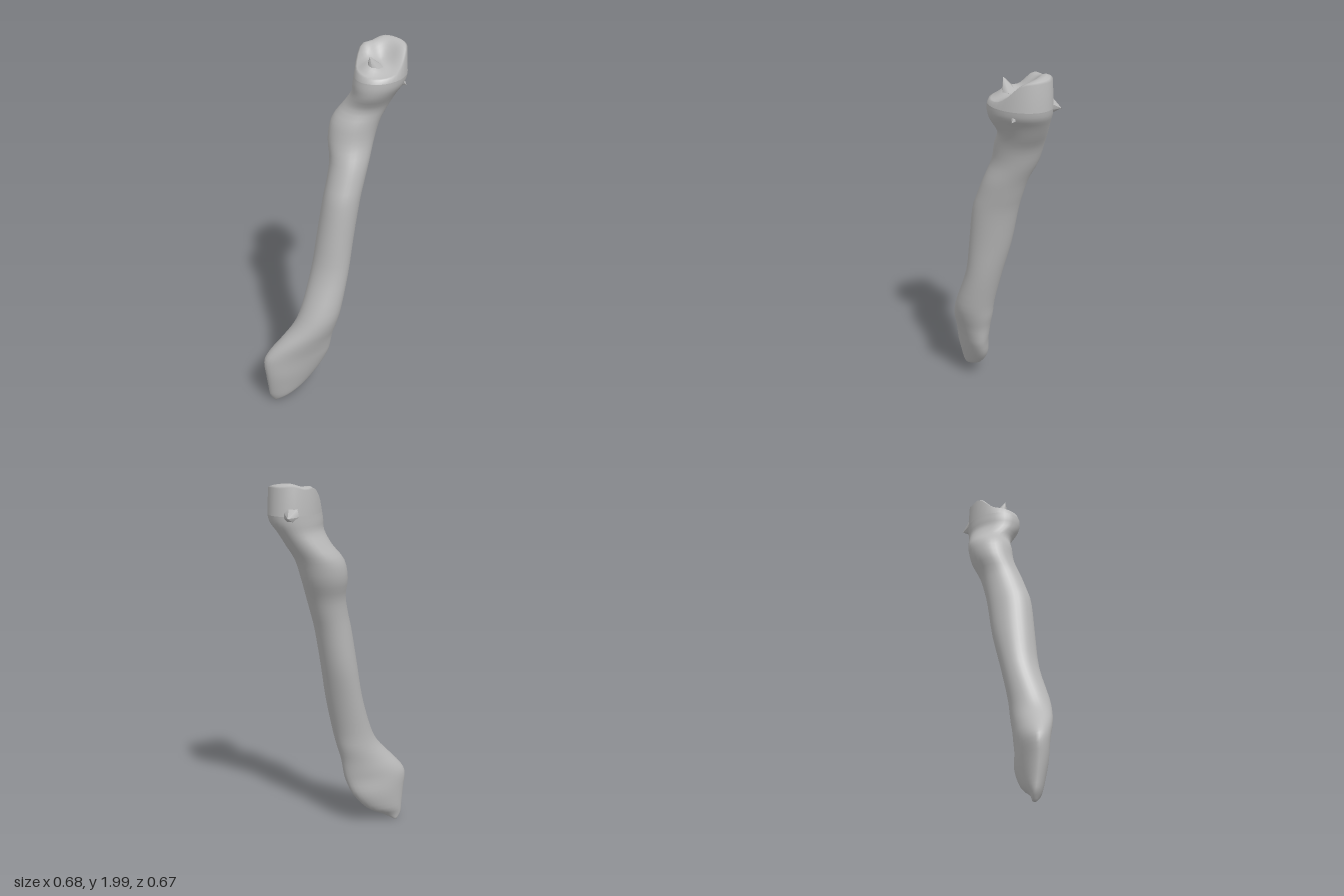
import * as THREE from 'three';
import { mergeVertices } from 'three/addons/utils/BufferGeometryUtils.js';

const SIDES = 32;

// Cross-sections, bottom to top: y, xMin, xMax, zMin, zMax, skew (ellipse tilt in plan)
const SECTIONS = [
  [0.00, -0.30, -0.28, 0.255, 0.275, 0],
  [0.04, -0.32, -0.21, 0.23, 0.295, -0.4],
  [0.10, -0.325, -0.13, 0.16, 0.31, -0.6],
  [0.20, -0.333, -0.055, 0.108, 0.328, -0.65],
  [0.29, -0.34, -0.012, 0.10, 0.333, -0.65],
  [0.35, -0.31, 0.002, 0.092, 0.328, -0.58],
  [0.42, -0.25, 0.015, 0.082, 0.316, -0.43],
  [0.50, -0.188, 0.04, 0.065, 0.295, -0.22],
  [0.60, -0.15, 0.065, 0.05, 0.265, -0.04],
  [0.80, -0.11, 0.095, 0.0, 0.197, 0.08],
  [1.00, -0.085, 0.115, -0.055, 0.17, 0.1],
  [1.20, -0.058, 0.14, -0.095, 0.145, 0.08],
  [1.30, -0.042, 0.157, -0.122, 0.113, 0.06],
  [1.40, -0.034, 0.175, -0.155, 0.075, 0.05],
  [1.50, -0.05, 0.19, -0.205, 0.035, 0],
  [1.60, -0.035, 0.215, -0.235, 0.015, 0],
  [1.68, 0.025, 0.255, -0.26, -0.01, -0.05],
  [1.75, 0.068, 0.295, -0.28, 0.02, -0.12],
  [1.80, 0.073, 0.33, -0.295, 0.03, -0.15],
  [1.84, 0.078, 0.34, -0.30, 0.027, -0.15],
];

// Raised points of the cupped end: x, z, height, spread
const BUMPS = [
  [0.28, -0.24, 0.07, 0.055],
  [0.19, -0.26, 0.07, 0.05],
  [0.12, -0.18, 0.08, 0.045],
  [0.17, -0.07, 0.045, 0.04],
  [0.33, -0.16, 0.06, 0.05],
];

const cupHeight = (x, z) => BUMPS.reduce(
  (y, [bx, bz, h, w]) => y + h * Math.exp(-((x - bx) ** 2 + (z - bz) ** 2) / (2 * w * w)),
  1.88 - 0.15 * (z + 0.1375));

// Catmull-Rom blend of neighbouring sections
function sectionAt(i, t) {
  const at = (k) => SECTIONS[Math.min(Math.max(k, 0), SECTIONS.length - 1)];
  const [a, b, c, d] = [at(i - 1), at(i), at(i + 1), at(i + 2)];
  return b.map((p, k) => p + 0.5 * t * (c[k] - a[k]
    + t * (2 * a[k] - 5 * p + 4 * c[k] - d[k] + t * (3 * (p - c[k]) + d[k] - a[k]))));
}

function ring([y, x0, x1, z0, z1, skew]) {
  const points = [];
  for (let j = 0; j < SIDES; j++) {
    const t = (j / SIDES) * Math.PI * 2;
    const c = Math.cos(t), s = Math.sin(t);
    points.push(new THREE.Vector3(
      (x0 + x1) / 2 + (x1 - x0) / 2 * c, y,
      (z0 + z1) / 2 + (z1 - z0) / 2 * (skew * c + Math.sqrt(1 - skew * skew) * s)));
  }
  return points;
}

function loft(rings) {
  const positions = rings.flat().flatMap((p) => [p.x, p.y, p.z]);
  const index = [];
  for (let i = 0; i < rings.length - 1; i++) {
    for (let j = 0; j < SIDES; j++) {
      const a = i * SIDES + j, b = i * SIDES + (j + 1) % SIDES;
      index.push(a, a + SIDES, b, b, a + SIDES, b + SIDES);
    }
  }
  const g = new THREE.BufferGeometry();
  g.setAttribute('position', new THREE.Float32BufferAttribute(positions, 3));
  g.setIndex(index);
  const merged = mergeVertices(g, 1e-5);
  merged.computeVertexNormals();
  return merged;
}

export function createModel() {
  const model = new THREE.Group();
  const bone = new THREE.MeshStandardMaterial({ color: 0xb8b8b8 });
  bone.name = 'bone grey';
  const add = (name, geometry) => {
    const mesh = new THREE.Mesh(geometry, bone);
    mesh.name = name;
    model.add(mesh);
    return mesh;
  };

  // Shaft with flared lower end, closed at the tip
  const first = ring(SECTIONS[0]);
  const rings = [first.map(() => new THREE.Vector3(-0.29, 0, 0.265))];
  for (let i = 0; i < SECTIONS.length - 1; i++) {
    for (let k = 0; k < 3; k++) rings.push(ring(sectionAt(i, k / 3)));
  }
  const rim = ring(SECTIONS[SECTIONS.length - 1]);
  rings.push(rim);
  add('shaft', loft(rings));

  // Cupped upper end: rim rings shrinking to the centre, lifted by the bumps
  const cup = [rim];
  for (const s of [0.95, 0.88, 0.78, 0.66, 0.54, 0.42, 0.28, 0.14, 0]) {
    cup.push(rim.map((p) => {
      const x = 0.21 + (p.x - 0.21) * s, z = -0.1375 + (p.z + 0.1375) * s;
      return new THREE.Vector3(x, cupHeight(x, z), z);
    }));
  }
  add('cuppedEnd', loft(cup));

  // Small bony spurs, each from a base point to a tip
  const spur = (name, base, tip, radius) => {
    const from = new THREE.Vector3(...base), to = new THREE.Vector3(...tip);
    const dir = to.clone().sub(from);
    const mesh = add(name, new THREE.ConeGeometry(radius, dir.length(), 7));
    mesh.position.copy(from).addScaledVector(dir, 0.5);
    mesh.quaternion.setFromUnitVectors(new THREE.Vector3(0, 1, 0), dir.normalize());
  };
  spur('frontSpur', [0.185, 1.88, -0.08], [0.165, 1.955, -0.045], 0.045);
  spur('backSpur', [0.205, 1.85, -0.24], [0.21, 1.835, -0.335], 0.075);
  spur('sideSpur', [0.27, 1.83, -0.14], [0.342, 1.79, -0.125], 0.06);
  return model;
}
